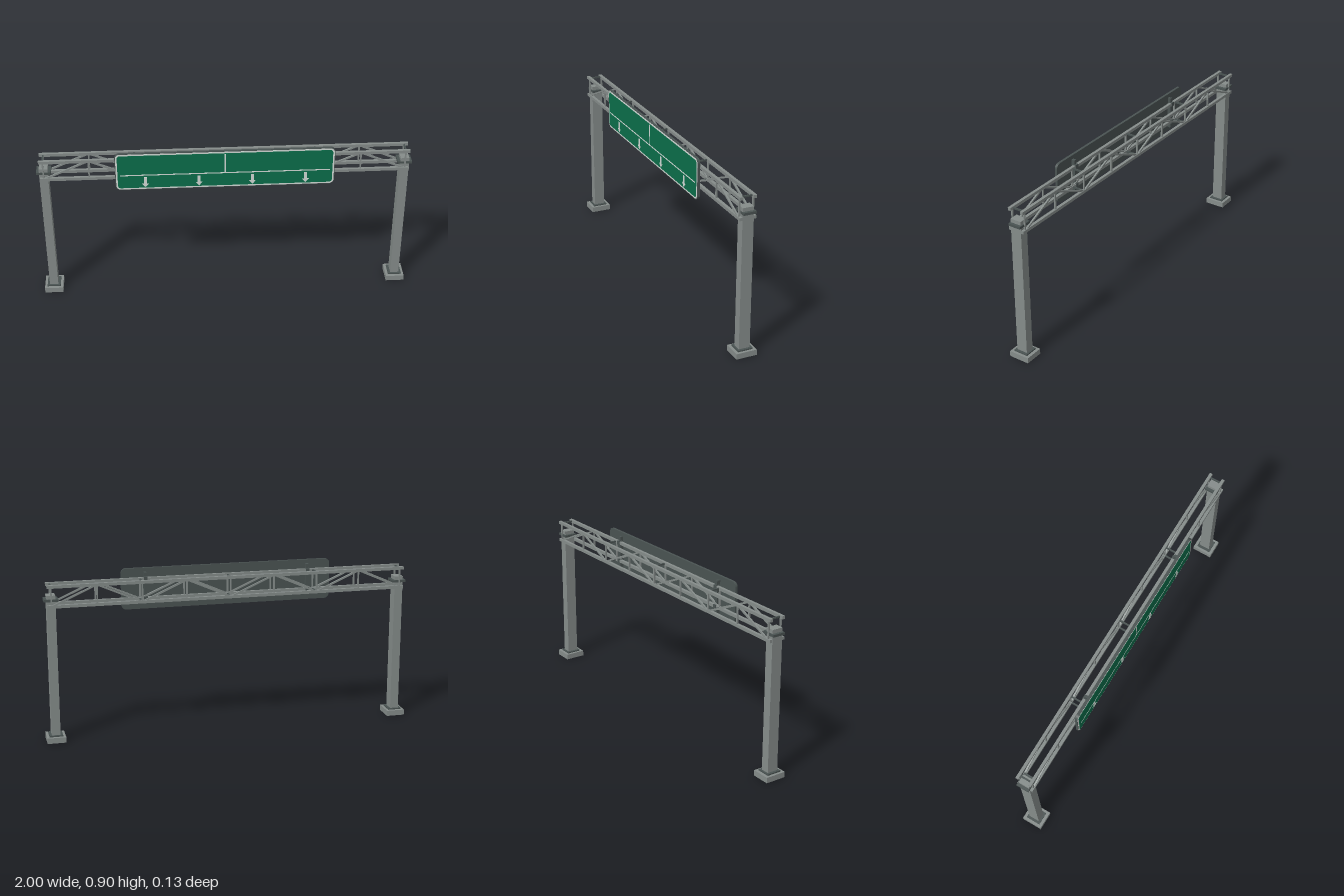
import * as THREE from 'three';

const mat = (name, color) => Object.assign(new THREE.MeshStandardMaterial({ color }), { name });

export function createModel() {
  const steel = mat('galvanised steel', 0x858c8a);
  const dark = mat('dark metal', 0x4a5352);
  const green = mat('sign green', 0x0b6e4a);
  const white = mat('sign white', 0xd3dad6);
  const root = new THREE.Group();
  root.name = 'overheadSignGantry';

  const add = (name, geometry, material, parent = root) => {
    const m = new THREE.Mesh(geometry, material);
    m.name = name;
    parent.add(m);
    return m;
  };
  const group = (name) => {
    const g = new THREE.Group();
    g.name = name;
    root.add(g);
    return g;
  };
  const box = (name, material, parent, [w, h, d], [x, y, z]) => {
    const m = add(name, new THREE.BoxGeometry(w, h, d), material, parent);
    m.position.set(x, y, z);
    return m;
  };
  // Square bar from one point to another
  const bar = (name, parent, a, b, size, material = steel) => {
    const p = new THREE.Vector3(...a), q = new THREE.Vector3(...b);
    const m = add(name, new THREE.BoxGeometry(size, size, p.distanceTo(q)), material, parent);
    m.position.copy(p).add(q).multiplyScalar(0.5);
    m.lookAt(q);
    return m;
  };

  const mid = -0.0065, zFront = 0.03, zBack = -0.043;
  const yTop = 0.843, yLow = 0.738;

  // Two columns with footing, base plate and collar
  for (const s of [-1, 1]) {
    const g = group(s > 0 ? 'leftColumn' : 'rightColumn');
    const x = s * 0.95;
    box('footing', steel, g, [0.1, 0.03, 0.113], [x, 0.015, mid]);
    box('basePlate', dark, g, [0.072, 0.007, 0.08], [x, 0.0335, mid]);
    box('post', steel, g, [0.046, 0.758, 0.06], [x, 0.416, mid]);
    box('collar', dark, g, [0.076, 0.013, 0.069], [x, 0.769, -0.0085]);
  }

  // Box truss: four chords, web bracing on both faces, cross ties
  const truss = group('truss');
  const panel = 0.2375;
  for (const z of [zFront, zBack]) {
    for (const y of [yTop, yLow]) box('chord', steel, truss, [1.943, 0.016, 0.016], [0, y, z]);
    for (let i = -4; i <= 4; i++) {
      const x = i * panel;
      bar('webPost', truss, [x, yLow, z], [x, yTop, z], 0.008);
      if (i < 4) {
        const up = i % 2 === 0;
        bar('diagonal', truss, [x, up ? yLow : yTop, z], [x + panel, up ? yTop : yLow, z], 0.009);
      }
    }
  }
  for (let i = -2; i <= 2; i++)
    for (const y of [yTop, yLow])
      bar('crossTie', truss, [i * 0.475, y, zBack], [i * 0.475, y, zFront], 0.008, dark);

  // Rounded sign panel, layered from the back to the face
  const sign = group('signPanel');
  const plate = (name, w, h, r, z, depth, material) => {
    const s = new THREE.Shape();
    const a = w / 2, b = h / 2;
    s.moveTo(-a + r, -b).lineTo(a - r, -b);
    s.absarc(a - r, -b + r, r, -Math.PI / 2, 0);
    s.absarc(a - r, b - r, r, 0, Math.PI / 2);
    s.absarc(-a + r, b - r, r, Math.PI / 2, Math.PI);
    s.absarc(-a + r, -b + r, r, Math.PI, Math.PI * 1.5);
    const geo = new THREE.ExtrudeGeometry(s, { depth, bevelEnabled: false, curveSegments: 6 });
    add(name, geo, material, sign).position.set(-0.002, 0.7875, z);
  };
  plate('signBack', 1.148, 0.221, 0.026, 0.049, 0.0135, dark);
  plate('signBorder', 1.141, 0.214, 0.023, 0.0625, 0.001, white);
  plate('signFace', 1.124, 0.197, 0.016, 0.0635, 0.001, green);

  // Painted divider lines and lane arrows
  box('horizontalLine', white, sign, [1.1, 0.006, 0.001], [-0.002, 0.767, 0.065]);
  box('verticalLine', white, sign, [0.007, 0.112, 0.001], [-0.002, 0.825, 0.065]);
  const arrow = new THREE.Shape([
    [0, -0.031], [0.019, -0.008], [0.008, -0.008], [0.008, 0.031],
    [-0.008, 0.031], [-0.008, -0.008], [-0.019, -0.008],
  ].map(([x, y]) => new THREE.Vector2(x, y)));
  const arrowGeo = new THREE.ExtrudeGeometry(arrow, { depth: 0.001, bevelEnabled: false });
  for (const x of [-0.42, -0.14, 0.14, 0.42])
    add('laneArrow', arrowGeo, white, sign).position.set(x, 0.723, 0.0645);

  // Hangers joining the sign to the front chords
  for (const x of [-0.445, 0.445]) {
    box('hanger', dark, sign, [0.014, 0.177, 0.019], [x, 0.7885, 0.0395]);
    for (const y of [yTop, yLow]) box('hangerClamp', dark, sign, [0.02, 0.022, 0.022], [x, y, 0.031]);
  }
  return root;
}
